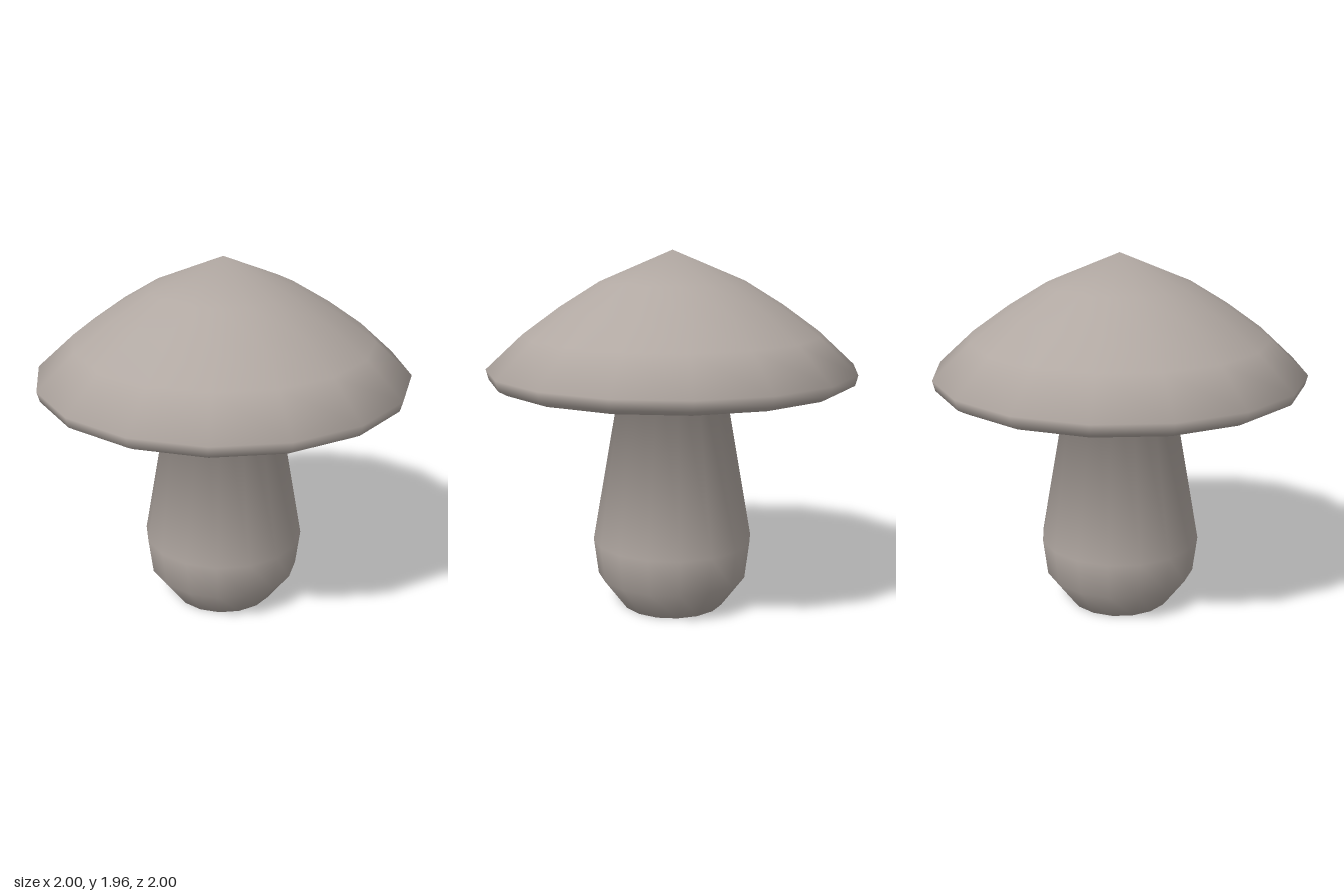
import * as THREE from 'three';

const SIDES = 16;

// [radius, height] from the centre of the foot, up the outside, to the tip
const PROFILE = [
  // bulbous stem tapering up into the cap
  [0, 0], [0.285, 0], [0.415, 0.175], [0.44, 0.375], [0.25, 1.45],
  // hollow underside, rounded rim and domed top
  [0.94, 1.255], [0.985, 1.28], [1, 1.335], [0.8, 1.52], [0.6, 1.665], [0.39, 1.795], [0, 1.96],
];

// Turned surface whose normals weigh neighbouring bands equally, for soft shading throughout
function softLathe(profile) {
  const points = profile.map(([r, y]) => new THREE.Vector2(r, y));
  const bands = points.slice(1).map((p, i) => {
    const d = p.clone().sub(points[i]).normalize();
    return new THREE.Vector2(d.y, -d.x);
  });
  const normals = points.map((p, i) => {
    const n = new THREE.Vector2();
    if (i > 0) n.add(bands[i - 1]);
    if (i < bands.length) n.add(bands[i]);
    if (p.x === 0) n.x = 0; // poles face straight up or down
    return n.normalize();
  });

  const geometry = new THREE.LatheGeometry(points, SIDES);
  for (let s = 0; s <= SIDES; s++) {
    const angle = (s / SIDES) * Math.PI * 2;
    normals.forEach((n, i) => geometry.attributes.normal.setXYZ(
      s * points.length + i, n.x * Math.sin(angle), n.y, n.x * Math.cos(angle)));
  }
  return geometry;
}

export function createModel() {
  const group = new THREE.Group();
  group.name = 'mushroom';

  // Stem and cap are one continuous skin
  const material = new THREE.MeshStandardMaterial({ color: 0xb1a8a2 });
  const body = new THREE.Mesh(softLathe(PROFILE), material);
  body.name = 'stemAndCap';
  group.add(body);

  return group;
}
